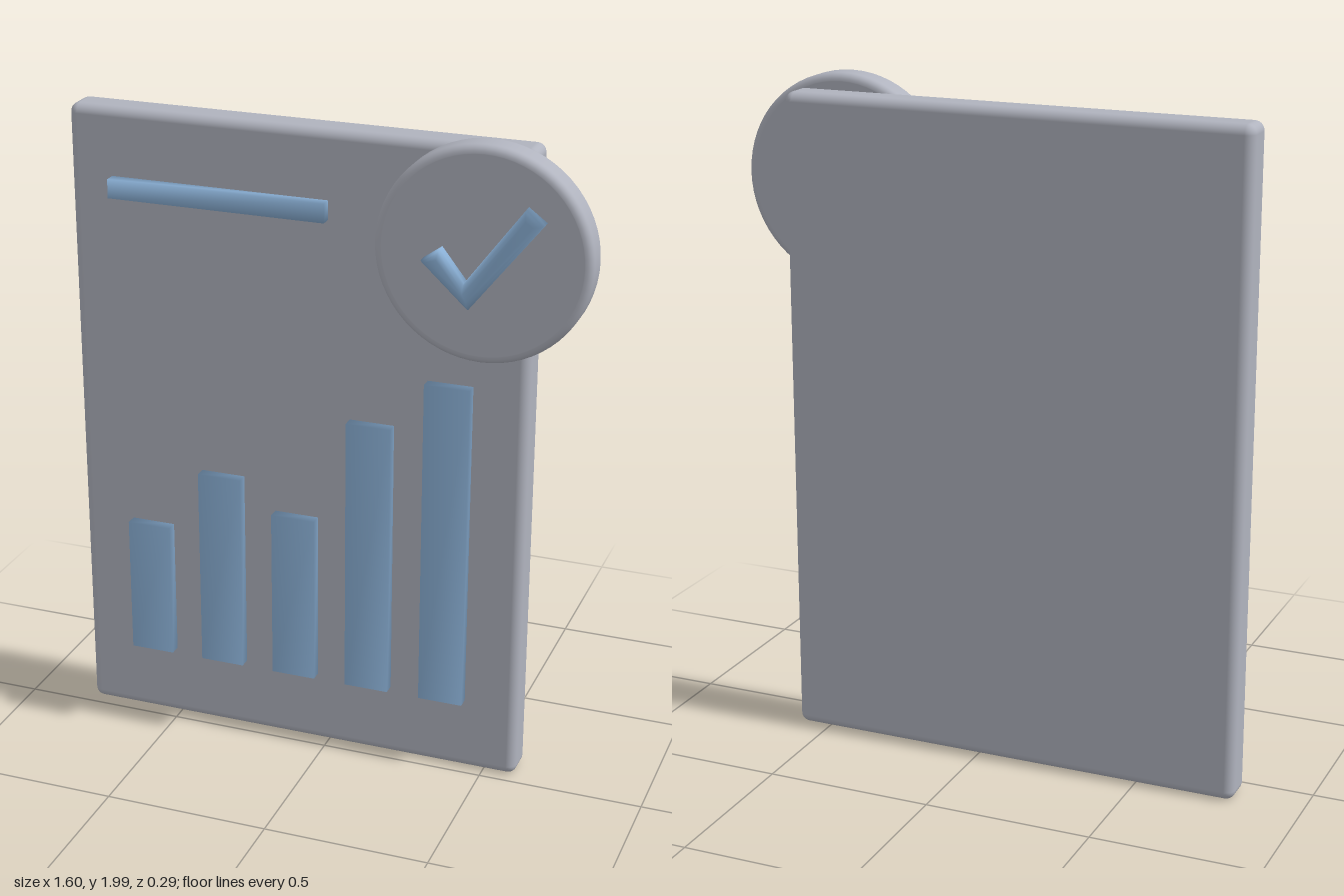
import * as THREE from 'three';
import { mergeVertices } from 'three/addons/utils/BufferGeometryUtils.js';
import { RoundedBoxGeometry } from 'three/addons/geometries/RoundedBoxGeometry.js';

const grey = new THREE.MeshStandardMaterial({ color: 0xb0b3be });
grey.name = 'paleGrey';
const blue = new THREE.MeshStandardMaterial({ color: 0x8cb2d8 });
blue.name = 'softBlue';

// Share corner vertices so that the shading runs smoothly over the edges
function smooth(geometry) {
  geometry.deleteAttribute('normal');
  geometry.deleteAttribute('uv');
  const merged = mergeVertices(geometry, 1e-4);
  merged.computeVertexNormals();
  return merged;
}

export function createModel() {
  const group = new THREE.Group();
  const add = (name, geometry, material, x, y, z) => {
    const mesh = new THREE.Mesh(geometry, material);
    mesh.name = name;
    mesh.position.set(x, y, z);
    group.add(mesh);
    return mesh;
  };

  // Report board with rounded edges
  add('board', new RoundedBoxGeometry(1.402, 1.955, 0.113, 4, 0.028), grey, -0.1, 0.983, -0.0865);

  // Raised strips on the board: heading line and chart bars
  const strip = (name, x0, x1, y0, y1) => add(name,
    smooth(new THREE.BoxGeometry(x1 - x0, y1 - y0, 0.037)), blue,
    (x0 + x1) / 2, (y0 + y1) / 2, -0.0125);
  strip('headingLine', -0.667, 0, 1.70, 1.757);
  [0.667, 0.865, 0.768, 1.10, 1.255].forEach((top, i) => {
    const x = -0.571 + i * 0.2355;
    strip('chartBar' + (i + 1), x - 0.068, x + 0.068, 0.238, top);
  });

  // Round badge with a softened rim, turned to face the front
  const R = 0.311, T = 0.096, b = 0.022;
  const profile = [new THREE.Vector2(0, 0), new THREE.Vector2(R - b - 0.002, 0)];
  for (const [cy, start] of [[b, -Math.PI / 2], [T - b, 0]]) {
    for (let i = 0; i <= 5; i++) {
      const a = start + i * Math.PI / 10;
      profile.push(new THREE.Vector2(R - b + b * Math.cos(a), cy + b * Math.sin(a)));
    }
  }
  profile.push(new THREE.Vector2(R - b - 0.002, T), new THREE.Vector2(0, T));
  const badge = add('badge', new THREE.LatheGeometry(profile, 64), grey, 0.489, 1.689, 0.002);
  badge.rotation.x = Math.PI / 2;

  // Tick on the badge, its back sunk into the disc
  const tick = new THREE.Shape([
    [0.325, 1.67], [0.463, 1.543], [0.67, 1.806],
    [0.617, 1.845], [0.449, 1.618], [0.378, 1.708],
  ].map(([x, y]) => new THREE.Vector2(x, y)));
  const bevel = 0.02;
  add('tick', smooth(new THREE.ExtrudeGeometry(tick, {
    depth: 0.033, bevelEnabled: true, bevelThickness: bevel,
    bevelSize: bevel, bevelOffset: -bevel, bevelSegments: 3,
  })), blue, 0, 0, 0.143 - 0.033 - bevel);

  return group;
}
